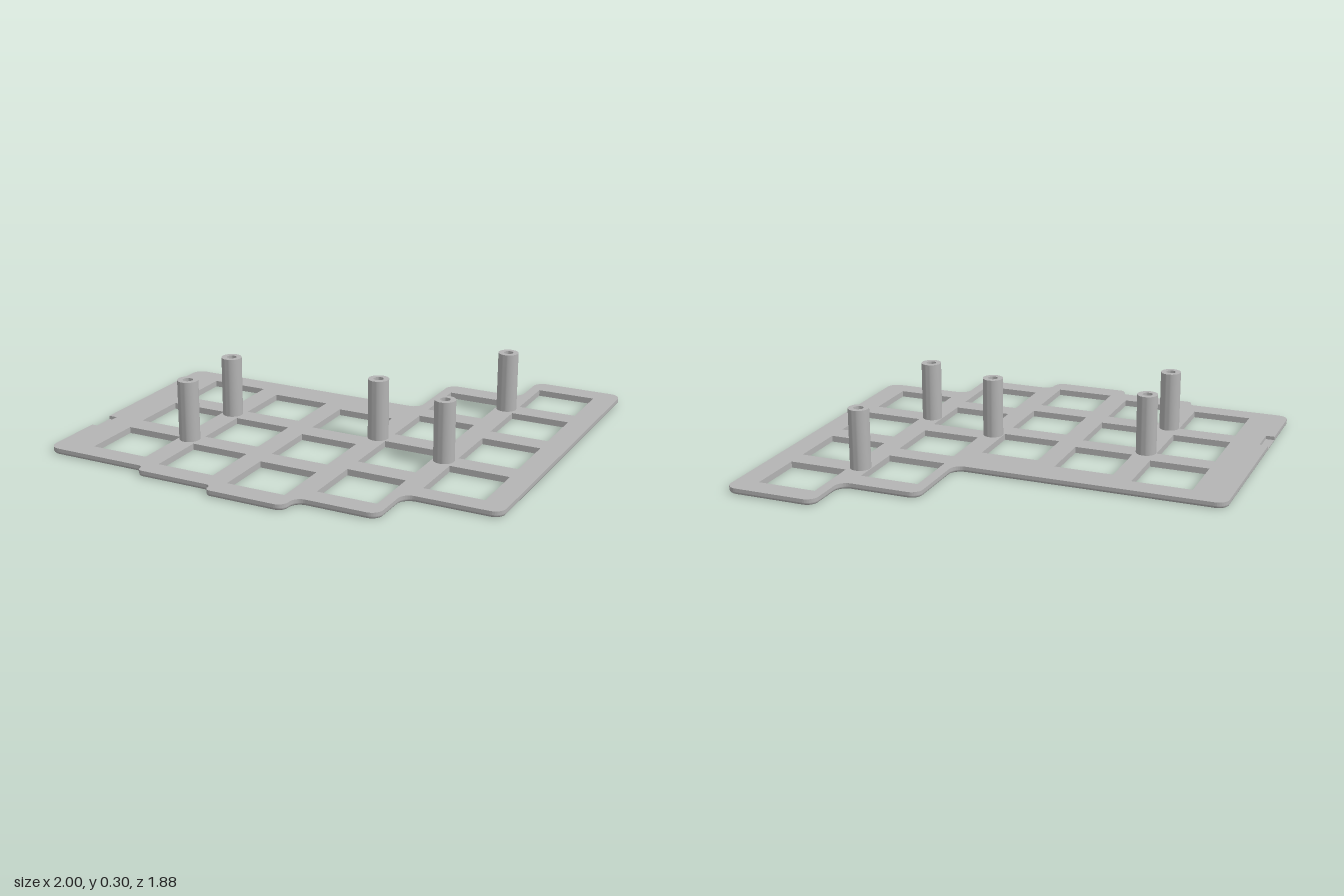
import * as THREE from 'three';
import { toCreasedNormals } from 'three/addons/utils/BufferGeometryUtils.js';

const EDGE = 0.012;      // radius of the rounded lower rim
const TOP = 0.028;       // top face of the plate
const POST_TOP = 0.3;
const HOLE = 0.268;      // square opening
const PITCH = 0.364;     // spacing of openings along z

// Plate corners, counter-clockwise: x, -z, corner radius
const CORNERS = [
  [-1, -0.84, 0.05], [-0.51, -0.84, 0.0225], [-0.51, -0.885, 0.0225],
  [-0.15, -0.885, 0.0225], [-0.15, -0.935, 0.025], [0.215, -0.935, 0.045],
  [0.215, -0.84, 0.045], [0.58, -0.84, 0.05], [0.58, -0.61, 0.05],
  [1, -0.61, 0.05], [1, 0.94, 0.05], [0.58, 0.94, 0.05],
  [0.58, 0.71, 0.05], [0.215, 0.71, 0.05], [0.215, 0.35, 0.05], [-1, 0.35, 0.05],
];

// Each column of openings: x, z of the rearmost centre, count
const COLUMNS = [
  [-0.695, -0.115, 3], [-0.331, -0.07, 3], [0.032, -0.025, 3],
  [0.397, -0.479, 4], [0.761, -0.706, 4],
];

// Post positions: x, z
const POSTS = [[-0.513, 0.114], [-0.513, 0.477], [0.215, 0.087], [0.58, 0.204], [0.58, -0.523]];

// Outline with rounded corners, moved inward by inset
function outline(inset) {
  const points = [];
  const corners = CORNERS.map(([x, y]) => new THREE.Vector2(x, y));
  const n = corners.length;
  for (let i = 0; i < n; i++) {
    const p = corners[i];
    const u = p.clone().sub(corners[(i + n - 1) % n]).normalize();
    const v = corners[(i + 1) % n].clone().sub(p).normalize();
    const convex = u.cross(v) > 0;
    const r = CORNERS[i][2] + (convex ? -inset : inset);
    const cx = p.x - inset * (u.y + v.y) + r * (v.x - u.x);
    const cy = p.y + inset * (u.x + v.x) + r * (v.y - u.y);
    for (let k = 0; k <= 8; k++) {
      const t = (k / 8) * Math.PI / 2;
      const c = Math.cos(t) * r, s = Math.sin(t) * r;
      points.push(new THREE.Vector2(cx - v.x * c + u.x * s, cy - v.y * c + u.y * s));
    }
  }
  return points;
}

// Flat layer of the plate with all its square openings
function layer(points, y, depth) {
  const shape = new THREE.Shape(points);
  const h = HOLE / 2;
  for (const [x, z0, count] of COLUMNS) {
    for (let i = 0; i < count; i++) {
      const y0 = -(z0 + i * PITCH);
      shape.holes.push(new THREE.Path([
        new THREE.Vector2(x - h, y0 - h), new THREE.Vector2(x - h, y0 + h),
        new THREE.Vector2(x + h, y0 + h), new THREE.Vector2(x + h, y0 - h),
      ]));
    }
  }
  const geometry = new THREE.ExtrudeGeometry(shape, { depth, bevelEnabled: false });
  return geometry.rotateX(-Math.PI / 2).translate(0, y, 0);
}

// Quarter-round rim under the outer edge
function roundedRim() {
  const positions = [], index = [];
  const steps = 5;
  let n = 0;
  for (let j = 0; j <= steps; j++) {
    const t = (j / steps) * Math.PI / 2;
    const ring = outline(EDGE * (1 - Math.sin(t)));
    n = ring.length;
    for (const p of ring) positions.push(p.x, EDGE * (1 - Math.cos(t)), -p.y);
  }
  for (let j = 0; j < steps; j++) {
    for (let i = 0; i < n; i++) {
      const a = j * n + i, b = j * n + (i + 1) % n;
      index.push(a, b, b + n, a, b + n, a + n);
    }
  }
  const geometry = new THREE.BufferGeometry();
  geometry.setAttribute('position', new THREE.Float32BufferAttribute(positions, 3));
  geometry.setIndex(index);
  geometry.computeVertexNormals();
  return geometry;
}

export function createModel() {
  const group = new THREE.Group();
  const grey = new THREE.MeshStandardMaterial({ color: 0xb4b4b4 });
  grey.name = 'grey';
  const add = (name, geometry) => {
    const mesh = new THREE.Mesh(geometry, grey);
    mesh.name = name;
    group.add(mesh);
    return mesh;
  };

  // Upper layer, with a shallow notch cut into the -x edge
  const notched = outline(0);
  for (const [x, y] of [[-1, -0.4], [-0.96, -0.4], [-0.96, -0.53], [-1, -0.53]]) {
    notched.push(new THREE.Vector2(x, y));
  }
  add('plateTop', layer(notched, EDGE, TOP - EDGE));
  add('notchFloor', new THREE.PlaneGeometry(0.04, 0.13).rotateX(-Math.PI / 2).translate(-0.98, EDGE, 0.465));

  // Lower layer and its rounded rim
  add('plateBottom', layer(outline(EDGE), 0, EDGE));
  add('plateRim', roundedRim());

  // Hollow standoff posts
  const profile = [[0.046, 0.02], [0.046, POST_TOP], [0.022, POST_TOP], [0.022, TOP + 0.001], [0, TOP + 0.001]]
    .map(([r, y]) => new THREE.Vector2(r, y));
  const postGeometry = toCreasedNormals(new THREE.LatheGeometry(profile, 40), 0.6);
  for (const [x, z] of POSTS) add('standoffPost', postGeometry).position.set(x, 0, z);

  return group;
}
